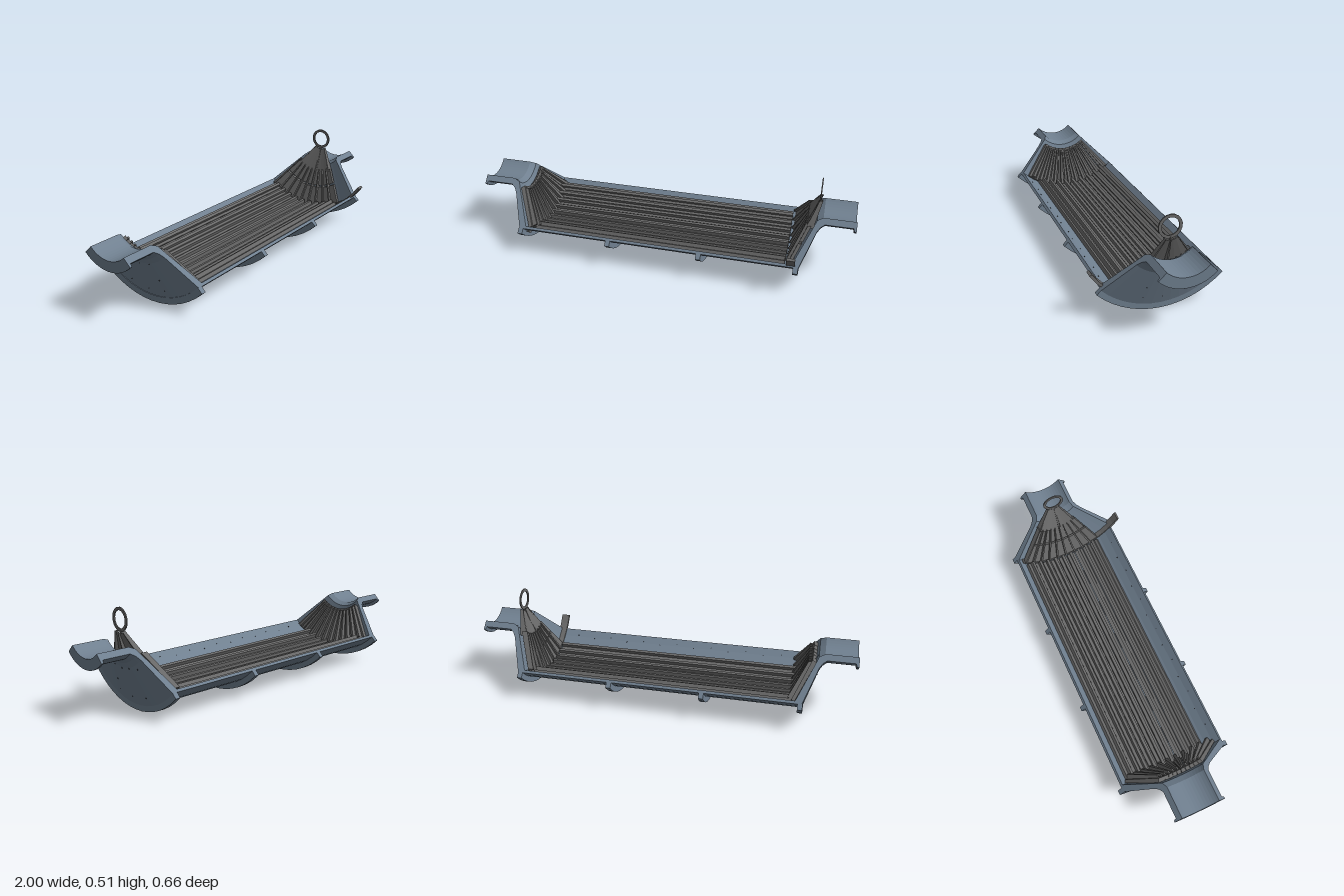
import * as THREE from 'three';

const YC = 0.445, ZC = -0.012; // drum axis
const RAD = Math.PI / 180;
const steel = new THREE.MeshStandardMaterial({ color: 0x708090 });
steel.name = 'shell steel';
const iron = new THREE.MeshStandardMaterial({ color: 0x696969 });
iron.name = 'liner iron';
const dark = new THREE.MeshStandardMaterial({ color: 0x2b2e33 });
dark.name = 'bolt hole dark';

// Sweep a closed (x, radius) profile round the drum axis from angle a0 to a1 (degrees, 0 = down, + = front)
function sweep(profile, a0, a1, segs) {
  let p = profile.map(([x, r]) => new THREE.Vector2(x, r));
  if (THREE.ShapeUtils.isClockWise(p)) p = p.reverse();
  const out = [];
  const at = (v, deg) => [v.x, YC - v.y * Math.cos(deg * RAD), ZC + v.y * Math.sin(deg * RAD)];
  const tri = (a, b, c) => out.push(...a, ...c, ...b);
  for (let s = 0; s < segs; s++) {
    const s0 = a0 + (a1 - a0) * s / segs, s1 = a0 + (a1 - a0) * (s + 1) / segs;
    p.forEach((v, i) => {
      const w = p[(i + 1) % p.length];
      tri(at(v, s0), at(w, s0), at(w, s1));
      tri(at(v, s0), at(w, s1), at(v, s1));
    });
  }
  if (a1 - a0 < 360) {
    for (const [i, j, k] of THREE.ShapeUtils.triangulateShape(p, [])) {
      tri(at(p[i], a0), at(p[k], a0), at(p[j], a0));
      tri(at(p[i], a1), at(p[j], a1), at(p[k], a1));
    }
  }
  const g = new THREE.BufferGeometry();
  g.setAttribute('position', new THREE.Float32BufferAttribute(out, 3));
  g.computeVertexNormals();
  return g;
}

const box = (x0, x1, r0, r1) => [[x0, r0], [x1, r0], [x1, r1], [x0, r1]];

export function createModel() {
  const model = new THREE.Group();
  const add = (name, geo, mat, parent = model) => {
    const m = new THREE.Mesh(geo, mat);
    m.name = name;
    parent.add(m);
    return m;
  };

  // Quarter drum shell and its outer hoops
  add('drumShell', sweep(box(-0.735, 0.735, 0.4, 0.415), -45, 45, 14), steel);
  for (const x of [-0.735, -0.245, 0.24, 0.73]) {
    add('hoop', sweep(box(x - 0.0125, x + 0.0125, 0.412, 0.445), -45, 45, 14), steel);
  }

  // End cones with trunnion necks and end flanges
  const neck = [[0.71, 0.4], [0.79, 0.2], [0.805, 0.16], [0.835, 0.143], [1, 0.143], [1, 0.195],
    [0.99, 0.195], [0.985, 0.178], [0.845, 0.178], [0.825, 0.195], [0.81, 0.22], [0.742, 0.418]];
  for (const side of [-1, 1]) {
    add('endConeAndNeck', sweep(neck.map(([x, r]) => [side * x, r]), -45, 45, 14), steel);
  }

  // Lengthwise liner plates with raised lifter bars
  const liners = new THREE.Group();
  liners.name = 'drumLiners';
  model.add(liners);
  const count = 9, step = 70 / count;
  for (let i = 0; i < count; i++) {
    const a = -40 + i * step;
    add('linerPlate', sweep(box(-0.715, 0.67, 0.381, 0.401), a + 0.25, a + step - 0.25, 1), iron, liners);
    add('lifterBar', sweep(box(-0.715, 0.67, 0.36, 0.384), a + 2.9, a + 5.4, 1), iron, liners);
  }

  // Bolt holes along the bare front strip and on the cones
  const hole = new THREE.CylinderGeometry(0.003, 0.003, 0.003, 6);
  for (let i = 0; i < 13; i++) {
    const h = add('boltHole', hole, dark);
    const a = (i % 2 ? 38 : 40) * RAD;
    h.position.set(-0.6 + i * 0.1, YC - 0.399 * Math.cos(a), ZC + 0.399 * Math.sin(a));
    h.rotation.x = -a;
  }
  for (const side of [-1, 1]) {
    for (const [r, a] of [[0.225, -15], [0.225, 0], [0.225, 15], [0.315, 16], [0.24, -29], [0.375, -17], [0.375, 0], [0.375, 15]]) {
      const h = add('coneBoltHole', hole, dark);
      const x = 0.81 - (r - 0.22) * 0.343;
      h.position.set(side * x, YC - r * Math.cos(a * RAD), ZC + r * Math.sin(a * RAD));
      h.rotation.z = Math.PI / 2;
    }
  }

  // Plain end: fan of ribbed cone liners
  const fan = new THREE.Group();
  fan.name = 'coneLiners';
  model.add(fan);
  for (let i = 0; i < 11; i++) {
    const a = -42 + i * 7.5;
    add('coneLiner', sweep([[-0.705, 0.4], [-0.69, 0.39], [-0.775, 0.175], [-0.793, 0.19]], a + 0.3, a + 7.2, 1), iron, fan);
    add('coneRib', sweep([[-0.7, 0.392], [-0.67, 0.375], [-0.755, 0.185], [-0.785, 0.185]], a + 2.4, a + 5, 1), iron, fan);
  }

  // Discharge end: two tiers of grate segments, ribs between them
  const grate = new THREE.Group();
  grate.name = 'dischargeGrate';
  model.add(grate);
  const tier = (r0, r1, t) => { // slab lying along the cone slope
    const sx = r => 0.685 + (0.39 - r) * 0.385;
    return [[sx(r1), r1], [sx(r0), r0], [sx(r0) + t, r0], [sx(r1) + t, r1]];
  };
  for (let i = 0; i < 9; i++) {
    const a = -41 + i * 8;
    add('outerGrate', sweep(tier(0.285, 0.39, 0.018), a + 0.5, a + 7.5, 1), iron, grate);
    add('innerGrate', sweep(tier(0.19, 0.275, 0.018), a + 0.7, a + 7.3, 1), iron, grate);
    add('grateRib', sweep(tier(0.18, 0.385, 0.03).map(([x, r]) => [x - 0.015, r]), a - 0.7, a + 0.9, 1), iron, grate);
  }

  // Centre funnel panels rising to the lifting ring
  for (const [a0, a1] of [[-37, -2], [2, 26]]) {
    add('funnelPanel', sweep([[0.755, 0.19], [0.808, 0.06], [0.815, 0.06], [0.768, 0.19]], a0, a1, 3), iron, grate);
  }
  for (const a of [-37, 0, 26]) {
    add('funnelRib', sweep([[0.755, 0.2], [0.805, 0.056], [0.822, 0.056], [0.79, 0.2]], a - 1.5, a + 1.5, 1), iron, grate);
  }
  const eye = new THREE.Group();
  eye.name = 'centreRing';
  model.add(eye);
  add('ring', sweep(box(0.805, 0.811, 0.043, 0.058), 0, 360, 18), iron, eye).position.y = 0.005;
  add('ringLink', new THREE.BoxGeometry(0.008, 0.02, 0.008), iron, eye).position.set(0.808, 0.39, ZC - 0.004);

  // Corner filler ring that overhangs the front cut
  add('cornerFillerRing', sweep(box(0.683, 0.726, 0.394, 0.408), -42, 57, 14), iron);

  // Small bracket at the front of the plain end
  const bracket = add('edgeBracket', new THREE.BoxGeometry(0.02, 0.015, 0.05), iron);
  bracket.position.set(-0.725, 0.1, 0.22);
  bracket.rotation.x = -40 * RAD;

  return model;
}
